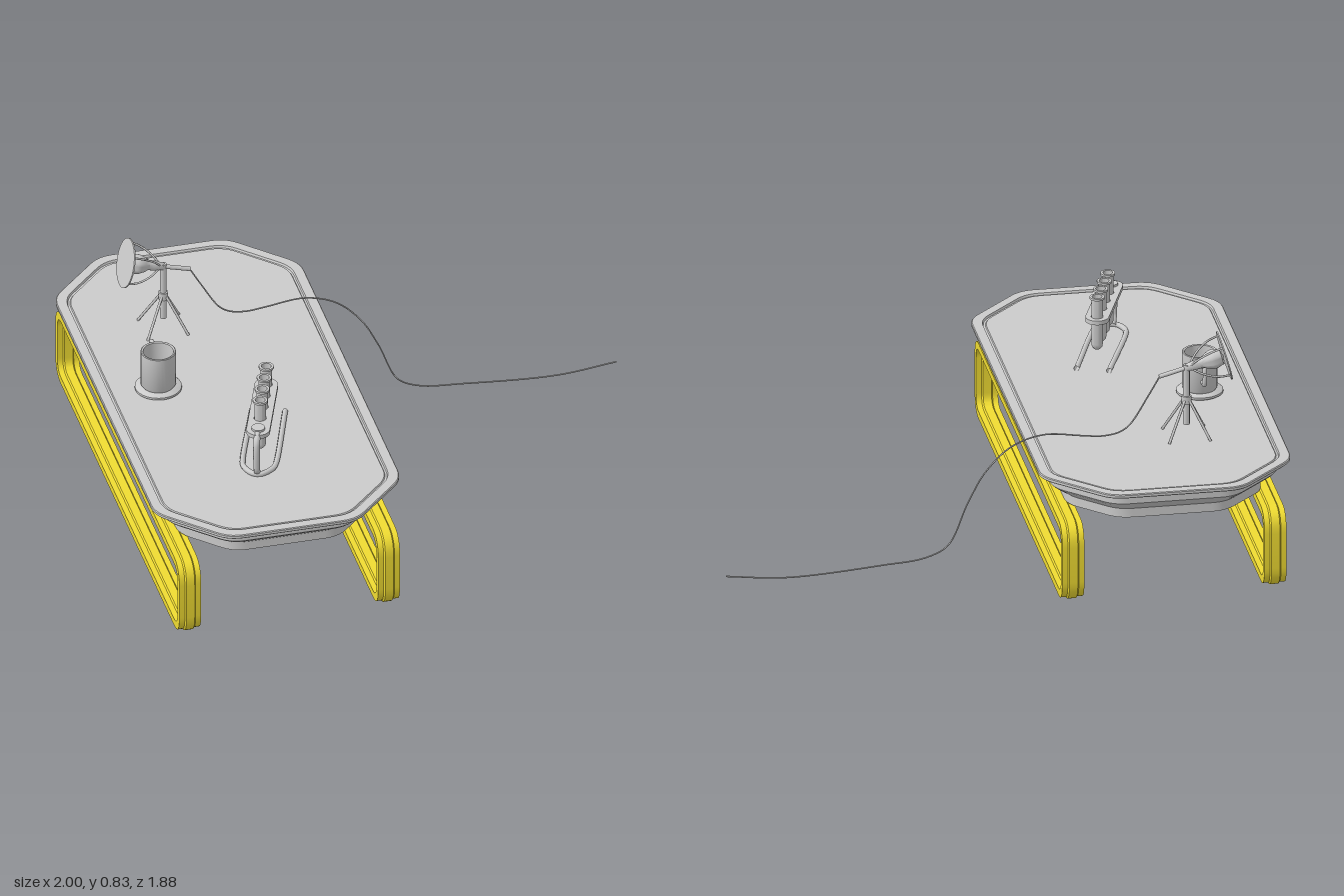
import * as THREE from 'three';
import { toCreasedNormals } from 'three/addons/utils/BufferGeometryUtils.js';

const grey = new THREE.MeshStandardMaterial({ color: 0xcccccc, side: THREE.DoubleSide });
const yellow = new THREE.MeshStandardMaterial({ color: 0xf0dc32, side: THREE.DoubleSide });
const V3 = (x, y, z) => new THREE.Vector3(x, y, z);

function add(parent, name, geometry, x = 0, y = 0, z = 0, material = grey) {
  const mesh = new THREE.Mesh(geometry, material);
  mesh.name = name;
  mesh.position.set(x, y, z);
  parent.add(mesh);
  return mesh;
}

function group(parent, name, x = 0, y = 0, z = 0) {
  const g = new THREE.Group();
  g.name = name;
  g.position.set(x, y, z);
  parent.add(g);
  return g;
}

const lathe = (pts, seg = 24) =>
  toCreasedNormals(new THREE.LatheGeometry(pts.map(p => new THREE.Vector2(...p)), seg), 0.7);

const tube = (pts, r, seg = 24, sides = 8) =>
  new THREE.TubeGeometry(new THREE.CatmullRomCurve3(pts, false, 'centripetal'), seg, r, sides);

// Straight round bar between two points
function bar(parent, name, a, b, r) {
  const mesh = add(parent, name, new THREE.CylinderGeometry(r, r, a.distanceTo(b), 8));
  mesh.position.copy(a).lerp(b, 0.5);
  mesh.quaternion.setFromUnitVectors(V3(0, 1, 0), b.clone().sub(a).normalize());
}

// Closed polygon with rounded corners
function roundPoly(corners, r, n) {
  const out = [];
  corners.forEach((c, i) => {
    const p = new THREE.Vector2(...c);
    const prev = new THREE.Vector2(...corners[(i + corners.length - 1) % corners.length]);
    const next = new THREE.Vector2(...corners[(i + 1) % corners.length]);
    const a = prev.sub(p).setLength(r).add(p), b = next.sub(p).setLength(r).add(p);
    out.push(...new THREE.QuadraticBezierCurve(a, p, b).getPoints(n));
  });
  return out;
}

// Skin between rings of equal point count; closed joins the last ring to the first
function loft(rings, closed) {
  const n = rings[0].length, index = [];
  const position = rings.flat().flatMap(p => [p.x, p.y, p.z]);
  const count = closed ? rings.length : rings.length - 1;
  for (let i = 0; i < count; i++) {
    const k = (i + 1) % rings.length;
    for (let j = 0; j < n; j++) {
      const m = (j + 1) % n;
      const a = i * n + j, b = i * n + m, c = k * n + m, d = k * n + j;
      index.push(a, d, c, a, c, b);
    }
  }
  const g = new THREE.BufferGeometry();
  g.setAttribute('position', new THREE.Float32BufferAttribute(position, 3));
  g.setIndex(index);
  return toCreasedNormals(g, 0.5);
}

// Eight-sided outline of the table at a given inset
function tableRing(inset, y) {
  const a = 0.455 - inset, b = 0.938 - inset, c = 0.22 - 0.586 * inset;
  const pts = roundPoly([[a, c - b], [a, b - c], [a - c, b], [c - a, b],
    [-a, b - c], [-a, c - b], [c - a, -b], [a - c, -b]], 0.05, 5);
  return pts.map(p => V3(p.x, y, p.y));
}

function railRing(inset, h) {
  const a = 0.888 - inset, b = 0.152 - inset;
  return roundPoly([[a, -b], [a, b], [-a, b], [-a, -b]], 0.085 - inset, 8)
    .map(p => V3(h, p.y, p.x));
}

function buildTable(root) {
  const table = group(root, 'table', -0.545, 0, -0.004);
  const rings = [[0.1, 0.318], [0.1, 0.352], [0.055, 0.385], [0.045, 0.395], [0.045, 0.435],
    [0.003, 0.435], [0, 0.438], [0, 0.447], [0.003, 0.45], [0.037, 0.45], [0.04, 0.442],
    [0.047, 0.442], [0.05, 0.446]].map(([i, y]) => tableRing(i, y));
  const centre = (ring, y) => ring.map(() => V3(0, y, 0));
  add(table, 'tabletop', loft([centre(rings[0], 0.318), ...rings, centre(rings[0], 0.446)], false));

  // Loop legs with a raised middle rib
  const half = [[0.006, -0.04], [0.006, -0.02], [0, -0.015], [0, 0.015], [0.006, 0.02], [0.006, 0.04]];
  const section = [...half, ...half.map(([i, h]) => [0.04 - i, h]).reverse()];
  for (const side of [-1, 1])
    add(table, side < 0 ? 'rightLeg' : 'leftLeg',
      loft(section.map(([i, h]) => railRing(i, h)), true), side * 0.366, 0.166, 0.004, yellow);
}

function buildMug(root) {
  const mug = group(root, 'mugOnCoaster', -0.783, 0.446, -0.068);
  add(mug, 'coaster', lathe([[0, 0], [0.078, 0], [0.084, 0.004], [0.084, 0.012], [0.078, 0.017], [0, 0.017]], 32));
  add(mug, 'mug', lathe([[0, 0.017], [0.058, 0.017], [0.063, 0.024], [0.063, 0.158], [0.06, 0.16],
    [0.054, 0.158], [0.054, 0.03], [0, 0.03]], 32));
  add(mug, 'mugHandle', tube([V3(0, 0.142, -0.058), V3(0, 0.142, -0.09), V3(0, 0.134, -0.102),
    V3(0, 0.075, -0.102), V3(0, 0.065, -0.09), V3(0, 0.065, -0.058)], 0.008));
}

function buildRack(root) {
  const rack = group(root, 'testTubeRack', -0.471, 0, 0.262);
  rack.rotation.y = -0.352;

  // Holder plate with a hole for each tube
  const plate = new THREE.Shape();
  plate.absarc(0, 0, 0.042, 0, Math.PI, false);
  plate.absarc(0, -0.29, 0.042, Math.PI, Math.PI * 2, false);
  for (let i = 0; i < 4; i++) {
    const s = i * 0.073;
    plate.holes.push(new THREE.Path().absarc(0, -s, 0.022, 0, Math.PI * 2, true));
    add(rack, 'testTube', lathe([[0, 0.495], [0.012, 0.499], [0.019, 0.508], [0.021, 0.52], [0.021, 0.69],
      [0.027, 0.692], [0.027, 0.7], [0.018, 0.7], [0.017, 0.52], [0, 0.505]], 16), 0, 0, s);
  }
  const geo = new THREE.ExtrudeGeometry(plate, { depth: 0.016, bevelEnabled: false, curveSegments: 16 });
  add(rack, 'holderPlate', geo.rotateX(-Math.PI / 2), 0, 0.606, 0);
  add(rack, 'plateKnob', new THREE.CylinderGeometry(0.024, 0.024, 0.01, 20), 0, 0.625, 0.29);

  // Bent post and U-shaped foot
  add(rack, 'post', tube([V3(0, 0.614, 0.29), V3(0, 0.614, 0.325), V3(0, 0.595, 0.345), V3(0, 0.5, 0.345),
    V3(0, 0.48, 0.34), V3(0, 0.456, 0.315)], 0.012));
  add(rack, 'foot', tube([V3(-0.059, 0.454, -0.09), V3(-0.059, 0.454, 0.26), V3(-0.052, 0.454, 0.285),
    V3(-0.015, 0.454, 0.325), V3(0.015, 0.454, 0.325), V3(0.052, 0.454, 0.285),
    V3(0.059, 0.454, 0.26), V3(0.059, 0.454, -0.09)], 0.01, 60));
}

function buildDish(root) {
  const stand = group(root, 'dishStand', -0.668, 0, -0.442);
  for (const sx of [-1, 1])
    for (const sz of [-1, 1])
      bar(stand, 'standLeg', V3(sx * 0.008, 0.585, sz * 0.01), V3(sx * 0.075, 0.447, sz * 0.07), 0.005);
  bar(stand, 'standPole', V3(0, 0.49, 0), V3(0, 0.72, 0), 0.012);
  bar(stand, 'poleCollar', V3(0, 0.57, 0), V3(0, 0.6, 0), 0.018);

  // Tilted dish; its axis runs back from the disc along local y
  const dish = group(root, 'dish', -0.805, 0.745, -0.442);
  dish.rotation.z = -(Math.PI / 2 + 0.265);
  add(dish, 'disc', new THREE.CylinderGeometry(0.09, 0.09, 0.005, 40));
  add(dish, 'dishBody', lathe([[0, 0.003], [0.028, 0.012], [0.036, 0.035], [0.035, 0.05], [0.028, 0.068],
    [0.018, 0.085], [0.018, 0.105], [0.013, 0.145], [0.008, 0.15], [0.008, 0.245], [0, 0.245]]));
  for (let i = 0; i < 4; i++) {
    const strut = add(dish, 'dishStrut', tube([V3(0.078, 0.002, 0), V3(0.07, 0.045, 0),
      V3(0.045, 0.09, 0), V3(0.012, 0.125, 0)], 0.004, 16, 6));
    strut.rotation.y = Math.PI / 4 + i * Math.PI / 2;
  }
}

function buildCable(root) {
  const path = [[-0.57, 0.68], [-0.53, 0.61], [-0.46, 0.5], [-0.42, 0.475], [-0.36, 0.466], [-0.29, 0.473],
    [-0.15, 0.487], [-0.035, 0.45], [0.06, 0.358], [0.125, 0.24], [0.195, 0.085], [0.275, 0.043],
    [0.435, 0.025], [0.78, 0.004], [1, 0.025]];
  add(root, 'cable', tube(path.map(([x, y]) => V3(x, y, -0.442)), 0.0028, 140, 6));
}

export function createModel() {
  const root = new THREE.Group();
  root.name = 'tableWithInstruments';
  [buildTable, buildMug, buildRack, buildDish, buildCable].forEach(build => build(root));
  return root;
}
